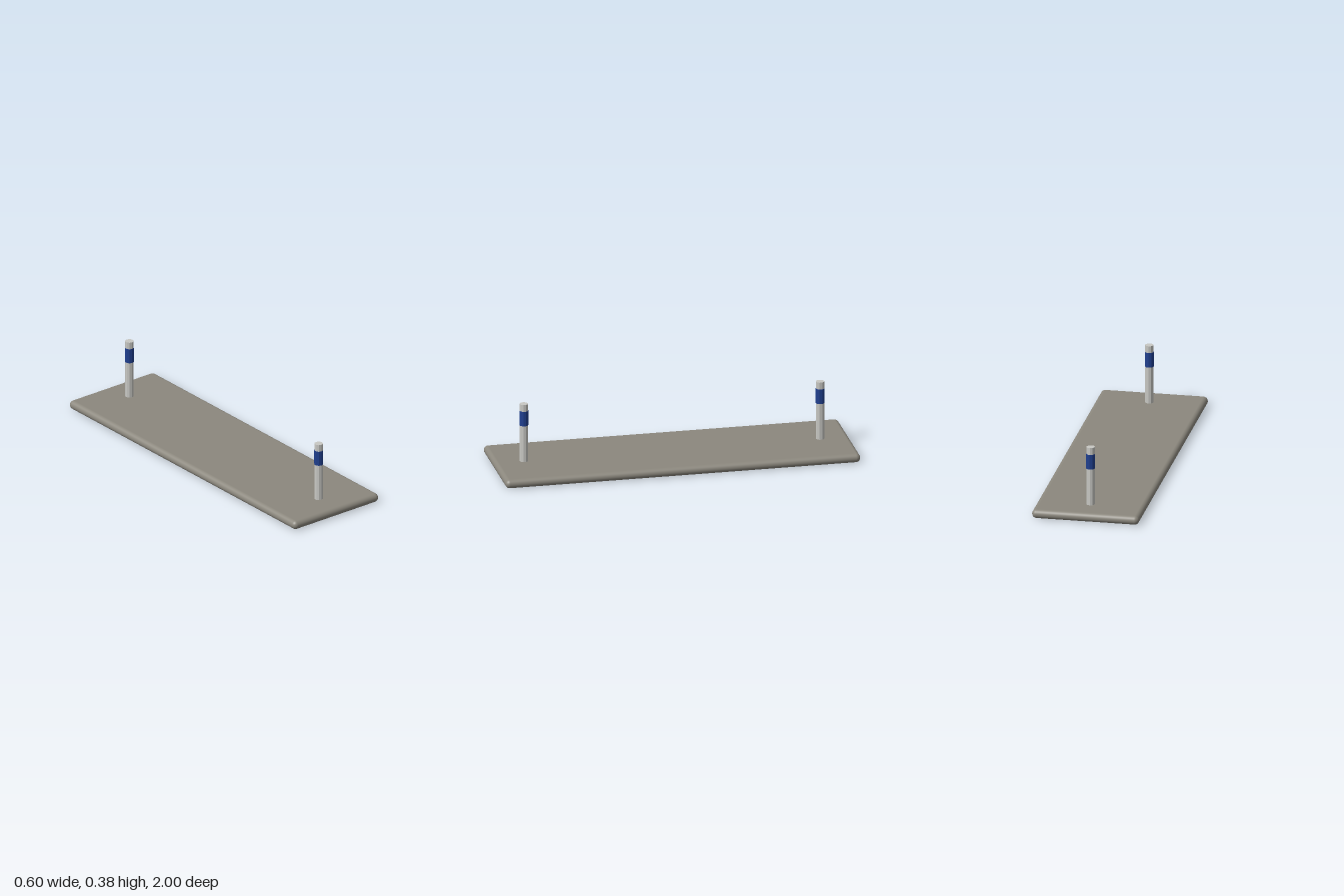
import * as THREE from 'three';
import { RoundedBoxGeometry } from 'three/addons/geometries/RoundedBoxGeometry.js';

const SIDES = 10;

function material(name, color) {
  const m = new THREE.MeshStandardMaterial({ color });
  m.name = name;
  return m;
}

// Faceted upright cylinder between two heights
function prism(name, radius, bottom, top, mat) {
  const geometry = new THREE.CylinderGeometry(radius, radius, top - bottom, SIDES).toNonIndexed();
  geometry.computeVertexNormals();
  const mesh = new THREE.Mesh(geometry, mat);
  mesh.name = name;
  mesh.position.y = (bottom + top) / 2;
  return mesh;
}

export function createModel() {
  const stone = material('warm grey stone', 0x8c887e);
  const steel = material('light steel', 0xc8c8c4);
  const blue = material('blue band', 0x1f3f8f);

  const model = new THREE.Group();
  model.name = 'platform';

  // Long slab with fully rounded edges
  const slab = new THREE.Mesh(new RoundedBoxGeometry(0.6, 0.05, 2, 5, 0.0249), stone);
  slab.name = 'slab';
  slab.position.y = 0.025;
  model.add(slab);

  // A banded post near each end
  for (const side of [1, -1]) {
    const post = new THREE.Group();
    post.name = side > 0 ? 'frontPost' : 'backPost';
    post.add(prism('shaft', 0.024, 0.045, 0.385, steel));
    post.add(prism('band', 0.0252, 0.26, 0.345, blue));
    post.position.z = side * 0.835;
    model.add(post);
  }
  return model;
}
